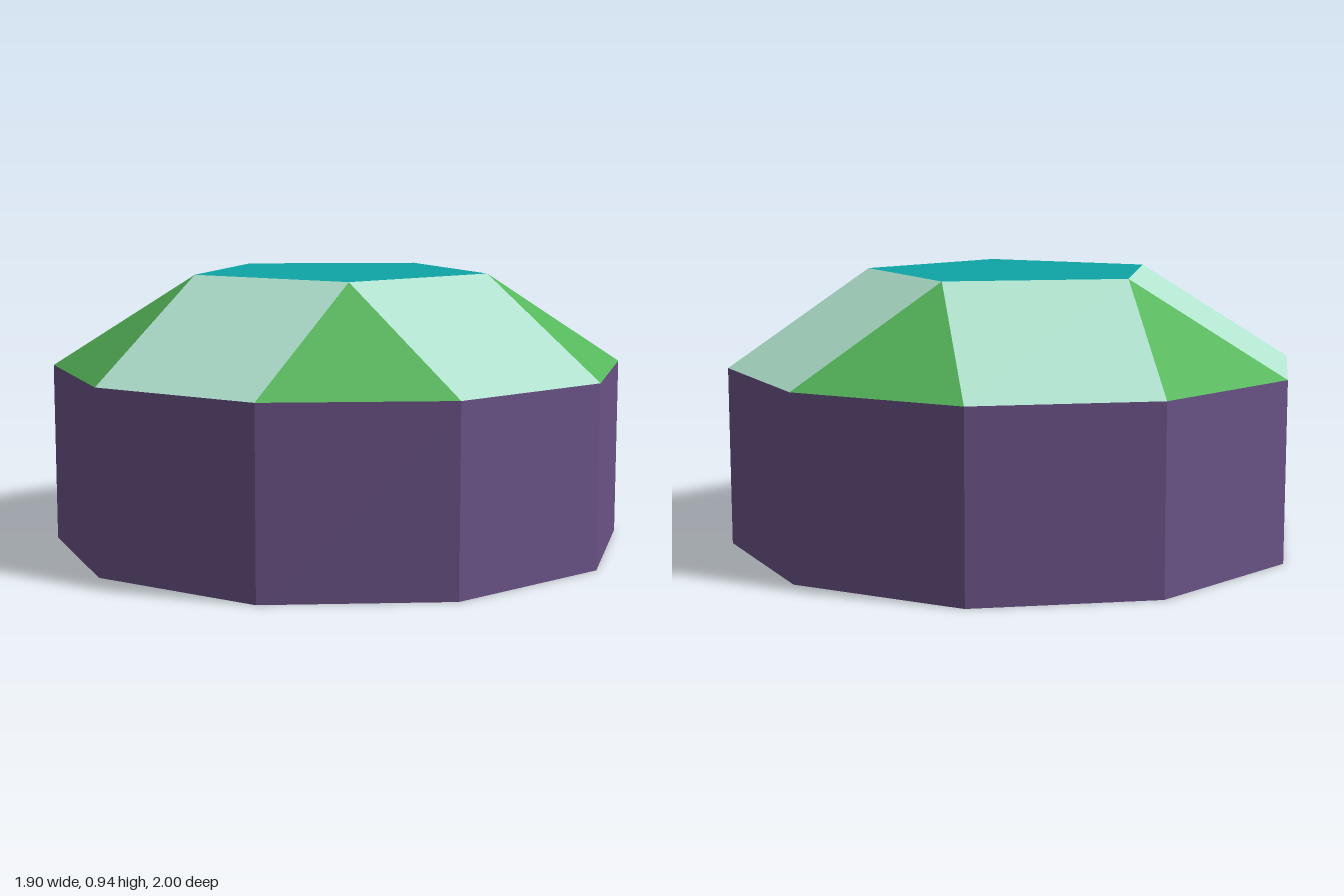
import * as THREE from 'three';

const EDGE = 2 * Math.sin(Math.PI / 10);            // decagon side for radius 1
const TOP_R = EDGE / (2 * Math.sin(Math.PI / 5));   // pentagon radius
const WALL = EDGE;                                  // wall height
const TOP_Y = WALL + EDGE * Math.sqrt((5 - Math.sqrt(5)) / 10);

const at = (radius, degrees, y) => {
  const a = THREE.MathUtils.degToRad(degrees);
  return new THREE.Vector3(radius * Math.cos(a), y, radius * Math.sin(a));
};

// Flat convex polygons, corners counter-clockwise from outside, fanned into triangles
function faces(name, polygons, material) {
  const points = [];
  for (const p of polygons) {
    for (let i = 1; i < p.length - 1; i++) points.push(p[0], p[i], p[i + 1]);
  }
  const geometry = new THREE.BufferGeometry().setFromPoints(points);
  geometry.computeVertexNormals();
  const mesh = new THREE.Mesh(geometry, material);
  mesh.name = name;
  return mesh;
}

function paint(name, color) {
  const material = new THREE.MeshStandardMaterial({ color });
  material.name = name;
  return material;
}

export function createModel() {
  const purple = paint('purple', 0x6a5286);
  const mint = paint('mint', 0xb0e2ce);
  const green = paint('green', 0x55b65a);
  const teal = paint('teal', 0x0ea5a5);

  // Ten upright walls and the floor
  const walls = [], floor = [];
  for (let i = 0; i < 10; i++) {
    const a = 18 + 36 * i, b = a + 36;
    walls.push([at(1, b, 0), at(1, a, 0), at(1, a, WALL), at(1, b, WALL)]);
    floor.push(at(1, a, 0));
  }

  // Sloping roof: squares alternate with triangles around the pentagon
  const squares = [], triangles = [], pentagon = [];
  for (let i = 0; i < 5; i++) {
    const a = 72 * i;
    squares.push([
      at(1, a + 18, WALL), at(1, a - 18, WALL),
      at(TOP_R, a - 36, TOP_Y), at(TOP_R, a + 36, TOP_Y),
    ]);
    triangles.push([at(1, a + 54, WALL), at(1, a + 18, WALL), at(TOP_R, a + 36, TOP_Y)]);
    pentagon.unshift(at(TOP_R, a + 36, TOP_Y));
  }

  const model = new THREE.Group();
  model.name = 'elongatedPentagonalCupola';
  model.add(
    faces('walls', walls, purple),
    faces('floor', [floor], purple),
    faces('roofSquares', squares, mint),
    faces('roofTriangles', triangles, green),
    faces('topPentagon', [pentagon], teal),
  );
  return model;
}
